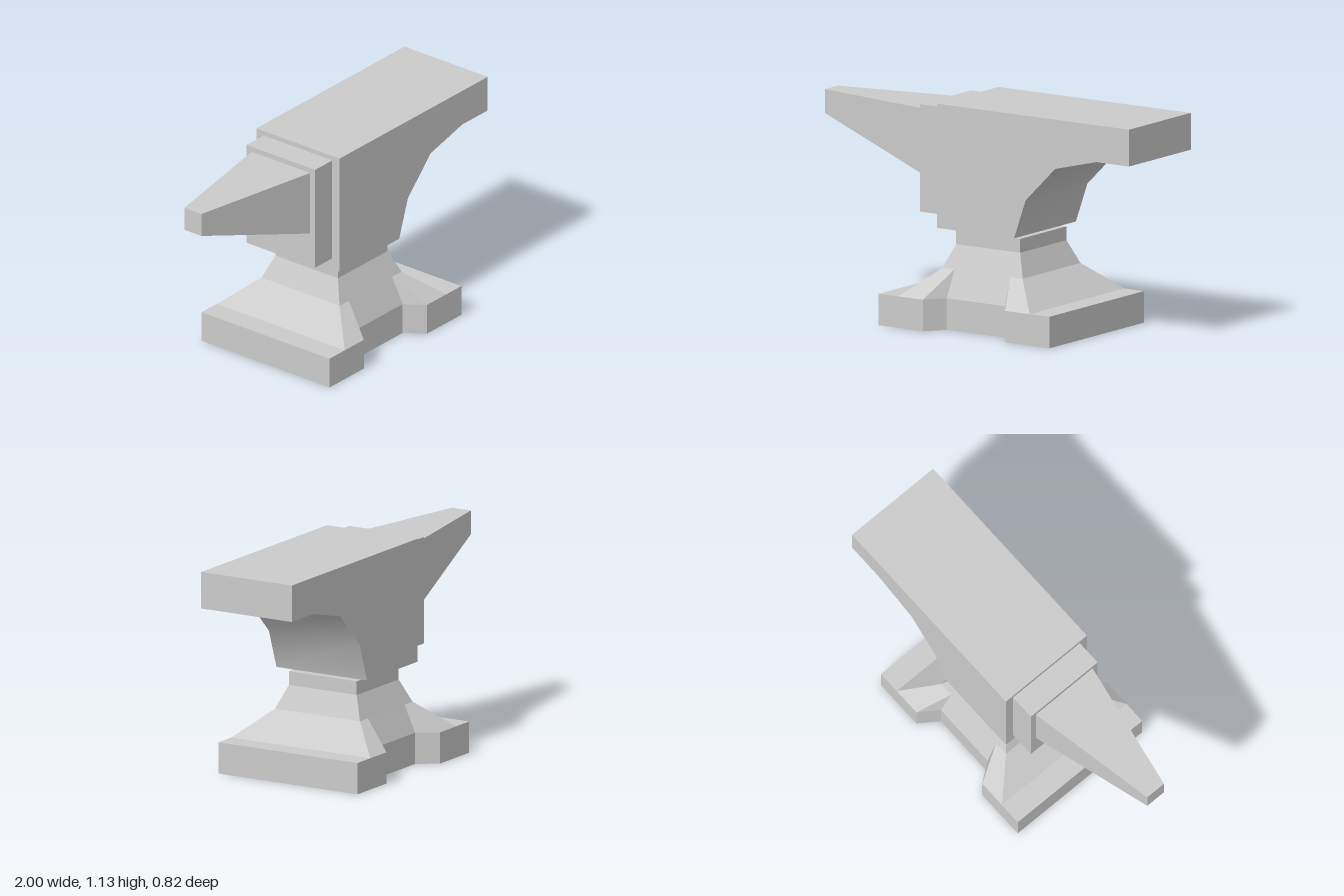
import * as THREE from 'three';
import { toCreasedNormals } from 'three/addons/utils/BufferGeometryUtils.js';

const smooth = new THREE.MeshStandardMaterial({ color: 0xcccccc });
const flat = new THREE.MeshStandardMaterial({ color: 0xcccccc, flatShading: true });

function add(group, name, geometry, material) {
  const mesh = new THREE.Mesh(geometry, material);
  mesh.name = name;
  group.add(mesh);
  return mesh;
}

// Horizontal outline with a notch in its front and back edges, counter-clockwise from above
function notchedRing({ y, x, z, lip, inner, innerZ }) {
  const front = [[x[0], z], [lip[0], z], [inner[0], innerZ], [inner[1], innerZ], [lip[1], z], [x[1], z]];
  const back = front.map(([px, pz]) => [px, -pz]).reverse();
  return [...front, ...back].map(([px, pz]) => new THREE.Vector3(px, y, pz));
}

// Joins stacked rings with side faces and caps both ends
function loft(rings) {
  const positions = [];
  const tri = (...corners) => {
    if (new THREE.Triangle(...corners).getArea() > 1e-7) corners.forEach((p) => positions.push(p.x, p.y, p.z));
  };
  for (let r = 0; r < rings.length - 1; r++) {
    const low = rings[r], high = rings[r + 1];
    low.forEach((a, i) => {
      const j = (i + 1) % low.length;
      tri(a, low[j], high[j]);
      tri(a, high[j], high[i]);
    });
  }
  const cap = (ring, up) => {
    const outline = ring.map((p) => new THREE.Vector2(p.x, -p.z));
    for (const [a, b, c] of THREE.ShapeUtils.triangulateShape(outline, [])) {
      if (up) tri(ring[a], ring[b], ring[c]);
      else tri(ring[a], ring[c], ring[b]);
    }
  };
  cap(rings[0], false);
  cap(rings[rings.length - 1], true);
  const geometry = new THREE.BufferGeometry();
  geometry.setAttribute('position', new THREE.Float32BufferAttribute(positions, 3));
  geometry.computeVertexNormals();
  return geometry;
}

export function createModel() {
  const model = new THREE.Group();
  model.name = 'anvil';

  // Notched foot rising through a sloped shoulder to the neck
  const foot = { z: 0.41, lip: [-0.155, 0.345], inner: [-0.08, 0.275], innerZ: 0.31 };
  const waist = { lip: [-0.075, 0.265], inner: [-0.075, 0.265] };
  const neck = { x: [-0.1, 0.29], z: 0.2, innerZ: 0.2, ...waist };
  const levels = [
    { y: 0, x: [-0.425, 0.615], ...foot },
    { y: 0.16, x: [-0.425, 0.615], ...foot },
    { y: 0.16, x: [-0.305, 0.495], ...foot },
    { y: 0.297, x: [-0.15, 0.34], z: 0.25, innerZ: 0.25, ...waist },
    { y: 0.415, ...neck },
    { y: 0.485, ...neck },
  ];
  add(model, 'base', loft(levels.map(notchedRing)), flat);

  // Body with a curved underside sweeping out to the heel
  const profile = [
    [-0.17, 0.5], [0.3, 0.5], [0.37, 0.7], [0.55, 0.88],
    [0.8, 0.943], [1, 0.943], [1, 1.13], [-0.17, 1.13],
  ].map(([x, y]) => new THREE.Vector2(x, y));
  const body = new THREE.ExtrudeGeometry(new THREE.Shape(profile), { depth: 0.534, bevelEnabled: false });
  body.translate(0, 0, -0.267);
  add(model, 'body', toCreasedNormals(body, 0.6), smooth);

  // Step block between body and horn
  add(model, 'step', new THREE.BoxGeometry(0.135, 0.545, 0.44), flat).position.set(-0.2375, 0.8325, 0);

  // Horn: a box tapered in width and on its underside
  const horn = new THREE.BoxGeometry(1, 1, 1);
  const p = horn.attributes.position;
  for (let i = 0; i < p.count; i++) {
    const tip = p.getX(i) < 0;
    const bottom = tip ? 0.955 : 0.74;
    p.setXYZ(i, tip ? -1 : -0.305, p.getY(i) > 0 ? 1.077 : bottom, Math.sign(p.getZ(i)) * (tip ? 0.055 : 0.187));
  }
  horn.computeVertexNormals();
  add(model, 'horn', horn, flat);

  return model;
}
